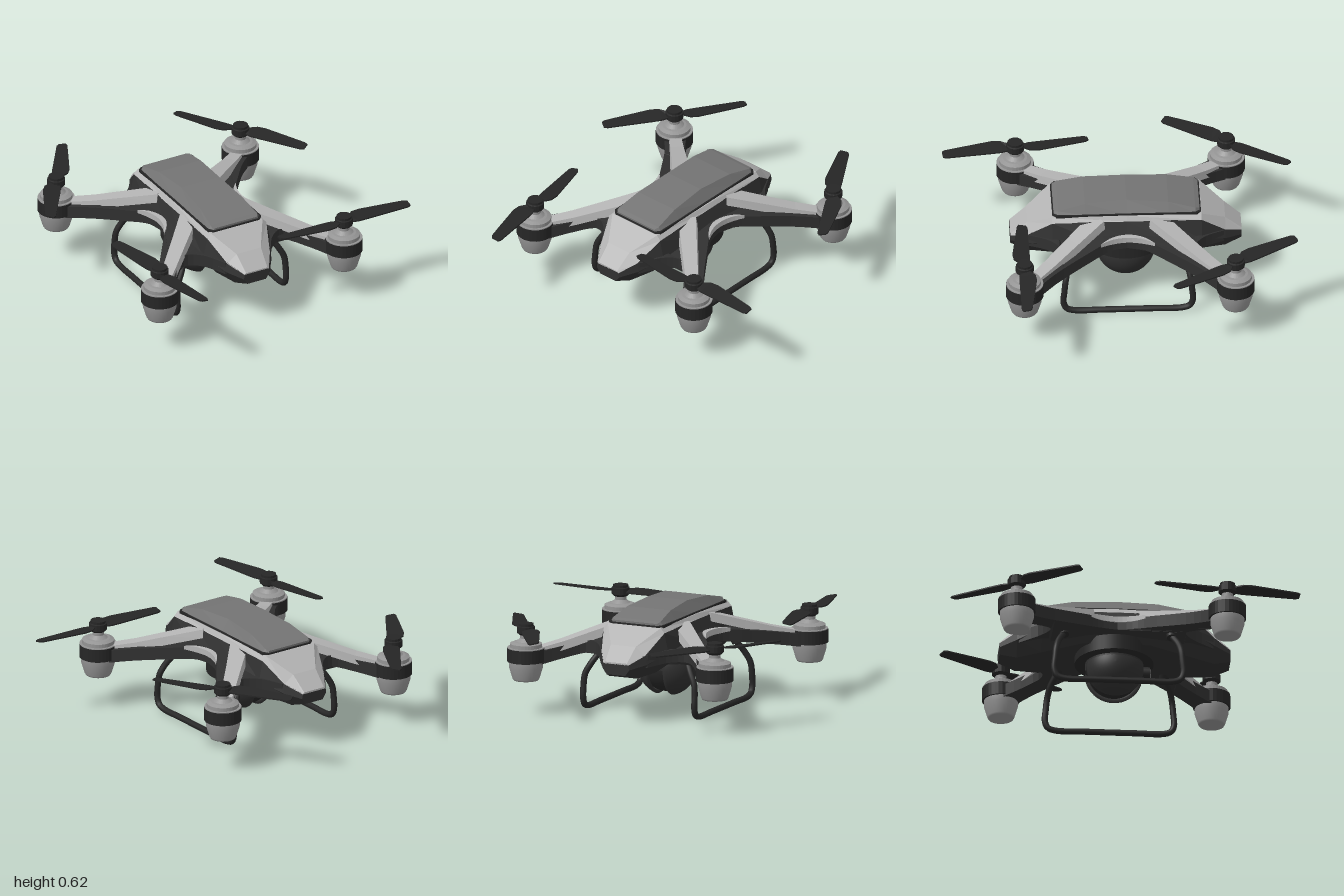
import * as THREE from 'three';

const mat = (name, color, side = THREE.FrontSide) => {
  const m = new THREE.MeshStandardMaterial({ color, side });
  m.name = name;
  return m;
};

// Flat-shaded skin over rings of [x, y] (counter-clockwise seen from +z), ordered by rising z
function loft(stations) {
  const p = [];
  const n = stations[0].ring.length;
  const put = (s, j) => p.push(s.ring[j % n][0], s.ring[j % n][1], s.z);
  for (let i = 0; i < stations.length - 1; i++) {
    const a = stations[i], b = stations[i + 1];
    for (let j = 0; j < n; j++) {
      put(a, j); put(a, j + 1); put(b, j + 1);
      put(a, j); put(b, j + 1); put(b, j);
    }
  }
  const first = stations[0], last = stations[stations.length - 1];
  for (let j = 1; j < n - 1; j++) {
    put(last, 0); put(last, j); put(last, j + 1);
    put(first, 0); put(first, j + 1); put(first, j);
  }
  const g = new THREE.BufferGeometry();
  g.setAttribute('position', new THREE.Float32BufferAttribute(p, 3));
  g.computeVertexNormals();
  return g;
}

// Loft mirrored left/right and front/back; rows are [z, [halfWidth, y], ...] from the nose to the middle
function hull(rows) {
  const ring = (pts) => [...pts, ...pts.map(([x, y]) => [-x, y]).reverse()];
  const back = rows.map(([z, ...pts]) => ({ z: -z, ring: ring(pts) }));
  const front = rows.filter((r) => r[0] > 0).reverse().map(([z, ...pts]) => ({ z, ring: ring(pts) }));
  return loft([...back, ...front]);
}

// Plate from an outline in x/z whose upper and lower heights follow rules
function plate(points, top, bottom) {
  const g = new THREE.ExtrudeGeometry(new THREE.Shape(points), { depth: 1, bevelEnabled: false });
  g.rotateX(-Math.PI / 2);
  const a = g.attributes.position;
  for (let i = 0; i < a.count; i++) {
    const r = Math.hypot(a.getX(i), a.getZ(i));
    a.setY(i, a.getY(i) > 0.5 ? top(r) : bottom(r));
  }
  g.computeVertexNormals();
  return g;
}

const v2 = (pts) => pts.map(([x, y]) => new THREE.Vector2(x, y));
const lathe = (pts, seg = 32) => new THREE.LatheGeometry(v2(pts), seg);

export function createModel() {
  const model = new THREE.Group();
  const drone = new THREE.Group();
  drone.name = 'drone';
  drone.position.set(-0.083, 0, -0.035);
  model.add(drone);

  const light = mat('light grey shell', 0xb4b4b4);
  const canopyGrey = mat('canopy grey', 0x747474);
  const metal = mat('motor grey', 0x949494, THREE.DoubleSide);
  const dark = mat('dark body', 0x303030, THREE.DoubleSide);
  const black = mat('black plastic', 0x262626, THREE.DoubleSide);

  const add = (name, geo, material, parent = drone) => {
    const m = new THREE.Mesh(geo, material);
    m.name = name;
    parent.add(m);
    return m;
  };

  // Fuselage: dark lower hull, light upper shell, faceted canopy
  add('lowerHull', hull([
    [0.665, [0.06, 0.295], [0.085, 0.33], [0.078, 0.36]],
    [0.57, [0.09, 0.265], [0.15, 0.35], [0.138, 0.405]],
    [0.43, [0.14, 0.28], [0.22, 0.40], [0.193, 0.515]],
    [0.2, [0.17, 0.33], [0.24, 0.43], [0.198, 0.52]],
    [0, [0.17, 0.34], [0.235, 0.43], [0.198, 0.52]],
  ]), dark);
  add('upperShell', hull([
    [0.665, [0.08, 0.358], [0.07, 0.368]],
    [0.57, [0.14, 0.403], [0.08, 0.45]],
    [0.43, [0.195, 0.515], [0.17, 0.542]],
    [0, [0.2, 0.52], [0.185, 0.548]],
  ]), light);
  add('canopyRim', hull([
    [0.428, [0.15, 0.535], [0.15, 0.55]],
    [0.405, [0.175, 0.535], [0.175, 0.553]],
    [0, [0.178, 0.535], [0.178, 0.555]],
  ]), black);
  add('canopy', hull([
    [0.42, [0.145, 0.548], [0.14, 0.562]],
    [0.395, [0.168, 0.548], [0.152, 0.572]],
    [0.24, [0.17, 0.55], [0.138, 0.608]],
    [0, [0.17, 0.55], [0.125, 0.622]],
  ]), canopyGrey);

  // X-shaped chassis with concave webs, drooping towards the motors
  const curve = (pts) => new THREE.SplineCurve(v2(pts)).getPoints(14);
  const quarter = [
    ...curve([[0.265, 0], [0.29, 0.1], [0.37, 0.22], [0.5, 0.4], [0.6, 0.51]]),
    ...curve([[0.51, 0.6], [0.43, 0.49], [0.33, 0.39], [0.23, 0.44], [0.15, 0.56]]),
    new THREE.Vector2(0.08, 0.58),
  ];
  const flip = (pts, sx, sy) => pts.map((p) => new THREE.Vector2(p.x * sx, p.y * sy));
  const outline = [
    ...quarter,
    ...flip(quarter, -1, 1).reverse(),
    ...flip(quarter, -1, -1).slice(1),
    ...flip(quarter, 1, -1).reverse().slice(0, -1),
  ];
  const droop = (r) => Math.max(0, r - 0.3);
  add('chassis', plate(outline, (r) => 0.45 - 0.16 * droop(r), (r) => 0.38 - 0.17 * droop(r)), dark);

  // Light panels at the waist
  for (const s of [1, -1]) {
    const sh = new THREE.Shape();
    sh.moveTo(0.325 * s, -0.155);
    sh.quadraticCurveTo(0.225 * s, 0, 0.325 * s, 0.155);
    sh.quadraticCurveTo(0.16 * s, 0, 0.325 * s, -0.155);
    add('waistPanel', plate(sh.getPoints(12), (r) => 0.459 - 0.12 * droop(r), (r) => 0.425 + 0.08 * droop(r)), light);
  }

  // Arm covers, motors and propellers
  const cover = loft([[0.24, 0.532, 0.062], [0.45, 0.473, 0.052], [0.64, 0.42, 0.045], [0.8, 0.385, 0.04]].map(([z, y, w]) => (
    { z, ring: [[w, y - 0.05], [w * 0.85, y], [-w * 0.85, y], [-w, y - 0.05]] })));
  const can = lathe([[0, 0.2], [0.072, 0.2], [0.078, 0.21], [0.098, 0.275], [0.098, 0.32]]);
  const band = lathe([[0.09, 0.31], [0.108, 0.31], [0.108, 0.388], [0.09, 0.388]]).toNonIndexed();
  band.computeVertexNormals();
  const cap = lathe([[0.107, 0.388], [0.107, 0.393], [0.093, 0.393], [0.093, 0.415], [0.07, 0.425], [0.055, 0.427], [0.033, 0.445], [0.033, 0.47]]).toNonIndexed();
  cap.computeVertexNormals();
  const hub = lathe([[0, 0.465], [0.038, 0.465], [0.052, 0.478], [0.052, 0.515], [0.044, 0.518], [0.044, 0.532], [0, 0.532]], 16).toNonIndexed();
  hub.computeVertexNormals();

  const blade = (hand) => loft([
    [0.03, -0.02, 0.02], [0.08, -0.06, 0.033], [0.13, -0.066, 0.034],
    [0.3, -0.045, 0.032], [0.405, -0.031, 0.031], [0.425, -0.02, 0.021],
  ].map(([z, a, b]) => {
    const [lo, hi] = hand > 0 ? [a, b] : [-b, -a];
    const t = 0.004, w = 0.007 * hand * (1 - z);
    return { z, ring: [[lo, -t + w], [hi, -t - w], [hi, t - w], [lo, t + w]] };
  }));

  // Each corner: side, end, blade direction in x/z, handedness
  for (const [sx, sz, dx, dz, hand] of [
    [-1, -1, 0.56, -0.83, 1], [1, -1, 0.54, 0.84, -1],
    [-1, 1, 0.145, 0.99, 1], [1, 1, 1, 0.01, -1],
  ]) {
    add('armCover', cover, light).rotation.y = Math.atan2(sx, sz);
    const motor = new THREE.Group();
    motor.name = 'motor';
    motor.position.set(0.607 * sx, 0, 0.607 * sz);
    drone.add(motor);
    add('motorCan', can, metal, motor);
    add('motorBand', band, black, motor);
    add('motorCap', cap, metal, motor);
    add('propellerHub', hub, black, motor);
    for (const turn of [0, Math.PI]) {
      const b = add('propellerBlade', blade(hand), black, motor);
      b.position.y = 0.498;
      b.rotation.y = Math.atan2(dx, dz) + turn;
    }
  }

  // Camera pod: mount, collar, inner ball, two side shells and lens
  add('cameraMount', new THREE.CylinderGeometry(0.228, 0.228, 0.09, 40), black).position.y = 0.325;
  add('cameraCollar', new THREE.CylinderGeometry(0.168, 0.168, 0.07, 40), dark).position.y = 0.265;
  add('cameraBall', new THREE.SphereGeometry(0.152, 32, 20), black).position.y = 0.232;
  const R = 0.173;
  const arc = [[0.145, 0.05]];
  for (let i = 0; i <= 12; i++) {
    const a = THREE.MathUtils.lerp(Math.asin(0.05 / R), Math.PI / 2, i / 12);
    arc.push([R * Math.cos(a), R * Math.sin(a)]);
  }
  for (const s of [1, -1]) {
    const shell = add('cameraSideShell', lathe(arc, 40), dark);
    shell.rotation.z = -s * Math.PI / 2;
    shell.position.y = 0.228;
  }
  const lens = add('lensBarrel', new THREE.CylinderGeometry(0.043, 0.043, 0.09, 24), black);
  lens.rotation.x = Math.PI / 2;
  lens.position.set(0, 0.225, 0.16);
  add('lensRing', new THREE.TorusGeometry(0.028, 0.005, 8, 24), canopyGrey).position.set(0, 0.225, 0.205);

  // Landing skids: one bent tube each side with clamps under the chassis
  const half = [
    [0.27, 0.375, 0.3], [0.285, 0.335, 0.315], [0.32, 0.275, 0.345], [0.35, 0.215, 0.36],
    [0.357, 0.15, 0.367], [0.357, 0.075, 0.372], [0.357, 0.035, 0.355], [0.357, 0.019, 0.31], [0.357, 0.018, 0.15],
  ];
  for (const s of [1, -1]) {
    const path = [...half, ...half.map(([x, y, z]) => [x, y, -z]).reverse()]
      .map(([x, y, z]) => new THREE.Vector3(x * s, y, z));
    add('landingSkid', new THREE.TubeGeometry(new THREE.CatmullRomCurve3(path), 100, 0.018, 12), black);
    for (const e of [1, -1]) {
      const clamp = add('skidClamp', new THREE.CylinderGeometry(0.032, 0.026, 0.05, 16), black);
      clamp.position.set(0.28 * s, 0.35, 0.308 * e);
      clamp.rotation.z = 0.4 * s;
    }
  }
  return model;
}
